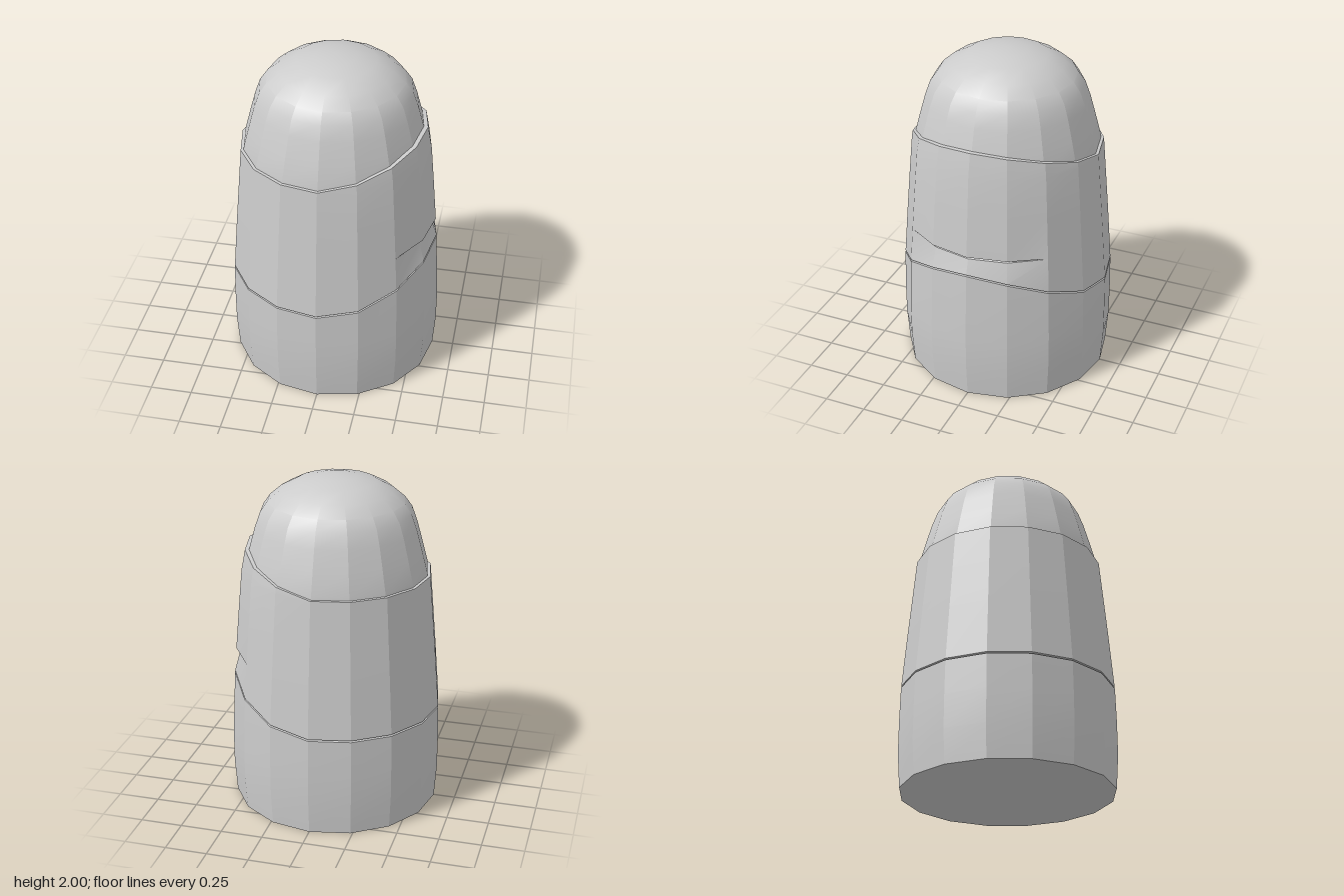
import * as THREE from 'three';
import { toCreasedNormals } from 'three/addons/utils/BufferGeometryUtils.js';

const SIDES = 16;

// Outer radius of the body at a given height
const PROFILE = [[0, 0.62], [0.2, 0.634], [0.6, 0.63], [0.95, 0.602], [1.43, 0.56], [1.58, 0.532]];
function radiusAt(y) {
  for (let i = 1; i < PROFILE.length; i++) {
    const [y0, r0] = PROFILE[i - 1], [y1, r1] = PROFILE[i];
    if (y <= y1) return r0 + (r1 - r0) * (y - y0) / (y1 - y0);
  }
  return PROFILE[PROFILE.length - 1][1];
}

// Seam heights: level behind, rising towards +x
const lift = (a) => Math.max(0, Math.cos(a));
const lowerSeam = (a) => 0.607 + 0.225 * lift(a) ** 1.9;
const upperSeam = (a) => 1.43 + 0.15 * lift(a) ** 1.3;

// Slot on the +x side, fading out at 45 degrees
const slot = (a) => (Math.cos(a) > 0.8 ? 1 : 0);

// Skin a stack of rings; each ring maps an angle to [radius, height]
function loft(name, rings, material) {
  const grid = rings.map((ring) => Array.from({ length: SIDES }, (_, j) => {
    const a = j / SIDES * Math.PI * 2;
    const [r, y] = ring(a);
    return new THREE.Vector3(r * Math.cos(a), y, -r * Math.sin(a));
  }));
  const pos = [];
  const tri = (a, b, c) => {
    if (new THREE.Triangle(a, b, c).getArea() > 1e-7) for (const v of [a, b, c]) pos.push(v.x, v.y, v.z);
  };
  for (let i = 0; i < grid.length - 1; i++) {
    for (let j = 0; j < SIDES; j++) {
      const k = (j + 1) % SIDES;
      tri(grid[i][j], grid[i][k], grid[i + 1][k]);
      tri(grid[i][j], grid[i + 1][k], grid[i + 1][j]);
    }
  }
  const geo = new THREE.BufferGeometry();
  geo.setAttribute('position', new THREE.Float32BufferAttribute(pos, 3));
  const mesh = new THREE.Mesh(toCreasedNormals(geo, 0.32), material);
  mesh.name = name;
  return mesh;
}

// Ring that lies on the body surface, optionally inset
const onBody = (height, inset = () => 0) => (a) => {
  const y = height(a);
  return [radiusAt(y) - inset(a), y];
};
const level = (y) => () => y;
const plain = (r, y) => () => [r, y];

export function createModel() {
  const group = new THREE.Group();
  group.name = 'roundedTower';
  const material = new THREE.MeshStandardMaterial({ color: 0xcccccc });

  // Base band with a closed floor and a bevel into the lower seam
  group.add(loft('baseBand', [
    plain(0, 0),
    plain(0.62, 0),
    plain(0.634, 0.2),
    plain(0.634, 0.4),
    onBody((a) => lowerSeam(a) - 0.005),
    onBody(lowerSeam, level(0.012)),
  ], material));

  // Middle band with the side slot and a thin lip at its top
  group.add(loft('middleBand', [
    onBody(lowerSeam, level(0.012)),
    onBody((a) => lowerSeam(a) + 0.005),
    onBody((a) => 0.94 - 0.012 * slot(a), (a) => 0.024 * slot(a)),
    onBody((a) => 0.941 - 0.008 * slot(a), (a) => 0.034 * slot(a)),
    onBody((a) => 0.942 + 0.003 * slot(a), (a) => 0.034 * slot(a)),
    onBody((a) => 0.943 + 0.008 * slot(a)),
    onBody(level(1.2)),
    onBody((a) => Math.min(1.44, upperSeam(a) - 0.01)),
    onBody(upperSeam),
    onBody((a) => upperSeam(a) + 0.002, level(0.04)),
  ], material));

  // Domed cap rising out of the middle band
  const cap = [
    [0.545, 1.4], [0.541, 1.45], [0.507, 1.58], [0.474, 1.7], [0.442, 1.79], [0.4, 1.85],
    [0.33, 1.91], [0.23, 1.963], [0.12, 1.987], [0, 2],
  ];
  group.add(loft('domeCap', cap.map(([r, y]) => plain(r, y)), material));

  return group;
}
